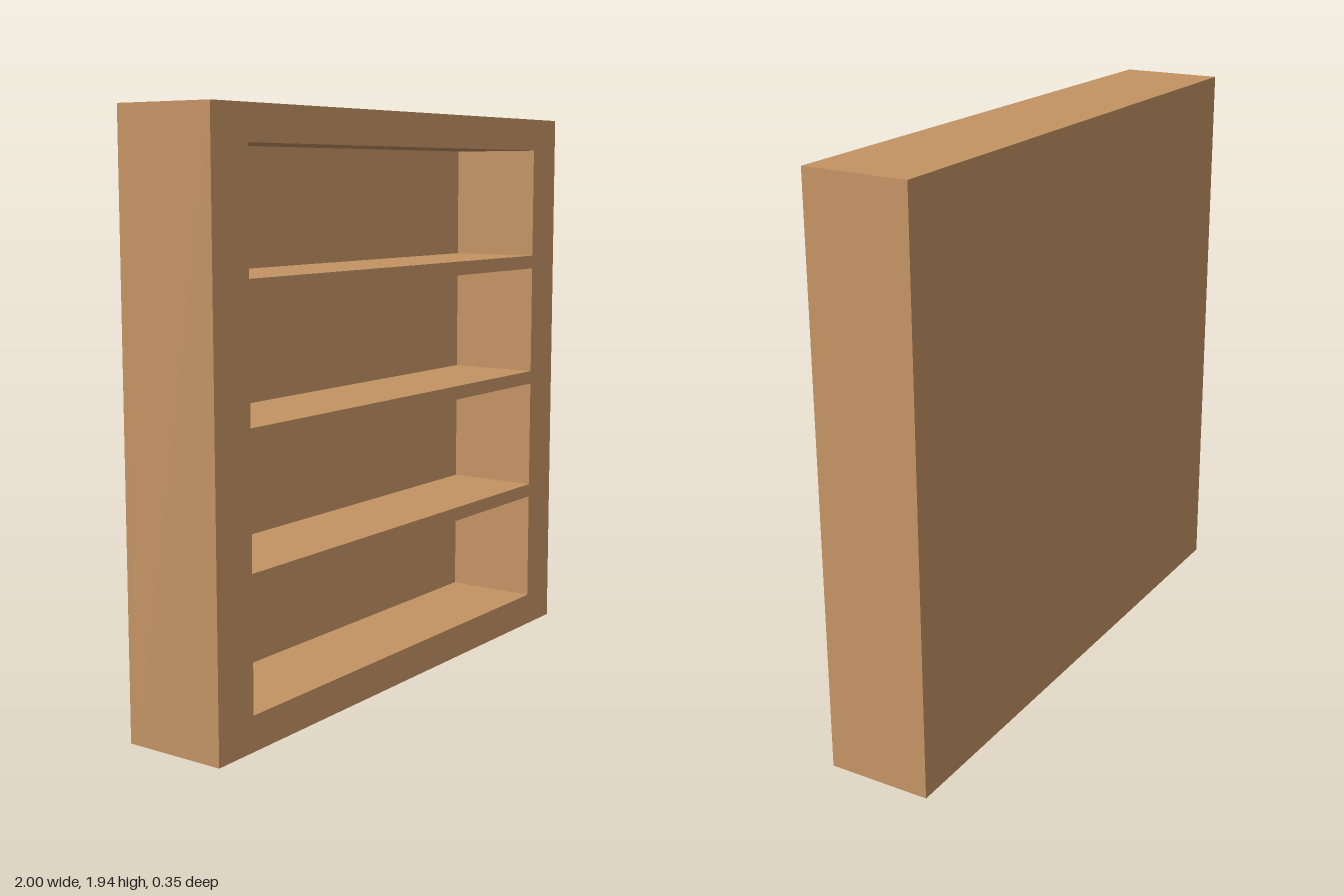
import * as THREE from 'three';

const WIDTH = 2, HEIGHT = 1.937, DEPTH = 0.355, BACK = 0.024;
const BAYS = 4, BAY_HALF_WIDTH = 0.838, BAY_HEIGHT = 0.391, BAY_PITCH = 0.439, FIRST_BAY = 0.115;

// Adds a closed rectangle to a shape or path
function rectangle(path, x0, y0, x1, y1) {
  path.moveTo(x0, y0);
  path.lineTo(x1, y0);
  path.lineTo(x1, y1);
  path.lineTo(x0, y1);
  path.closePath();
  return path;
}

export function createModel() {
  const group = new THREE.Group();
  group.name = 'bookcase';
  const wood = new THREE.MeshStandardMaterial({ color: 0xc49464 });
  wood.name = 'light wood';

  // Frame and shelves: one slab with four open bays
  const outline = rectangle(new THREE.Shape(), -WIDTH / 2, 0, WIDTH / 2, HEIGHT);
  for (let i = 0; i < BAYS; i++) {
    const y = FIRST_BAY + i * BAY_PITCH;
    outline.holes.push(rectangle(new THREE.Path(), -BAY_HALF_WIDTH, y, BAY_HALF_WIDTH, y + BAY_HEIGHT));
  }
  const frame = new THREE.Mesh(
    new THREE.ExtrudeGeometry(outline, { depth: DEPTH - BACK, bevelEnabled: false }), wood);
  frame.name = 'frameAndShelves';
  frame.position.z = -DEPTH / 2 + BACK;
  group.add(frame);

  // Thin panel closing the back of the bays
  const back = new THREE.Mesh(new THREE.BoxGeometry(WIDTH, HEIGHT, BACK), wood);
  back.name = 'backPanel';
  back.position.set(0, HEIGHT / 2, -DEPTH / 2 + BACK / 2);
  group.add(back);

  return group;
}
